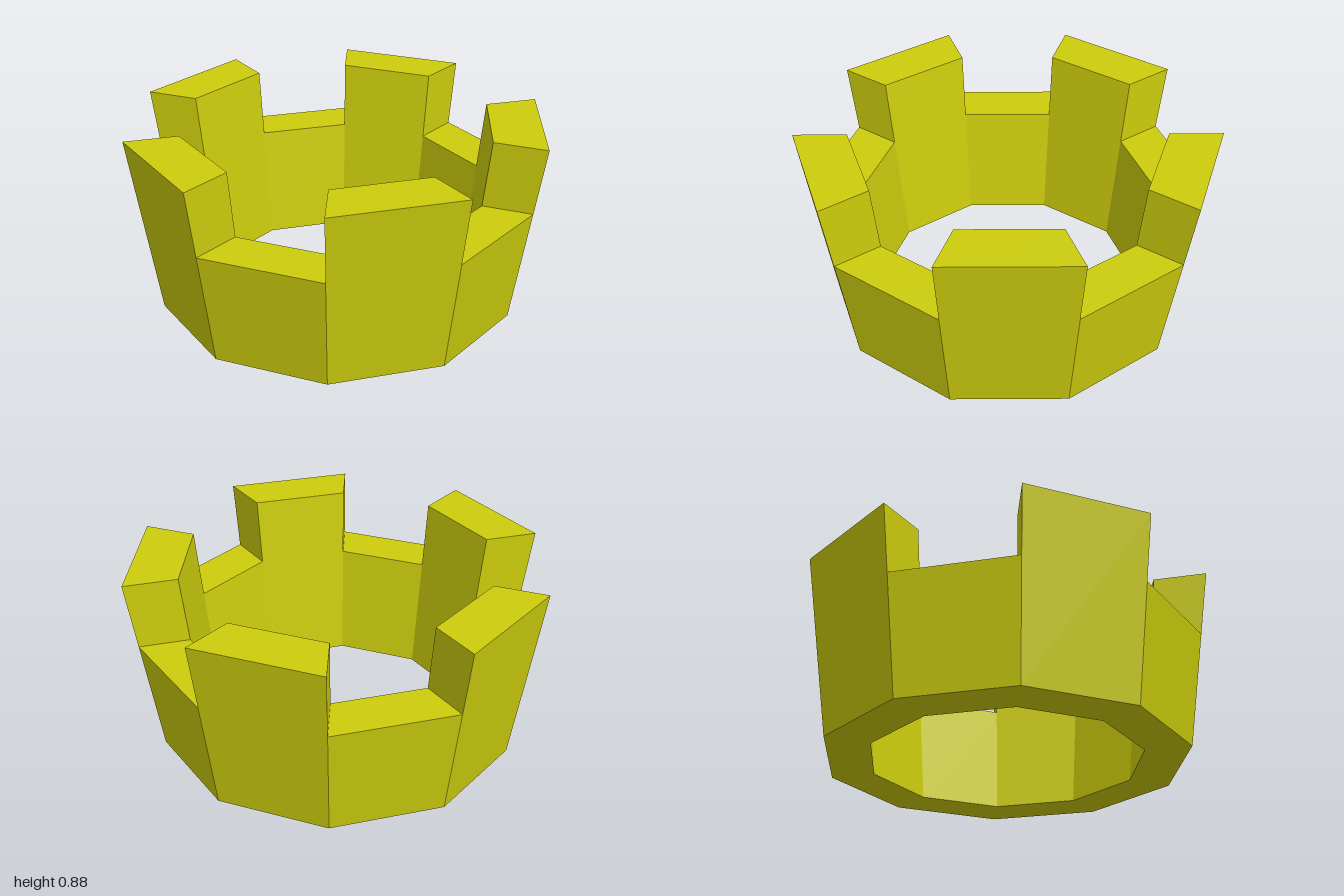
import * as THREE from 'three';

const SIDES = 10, STEP = (Math.PI * 2) / SIDES;
const START = THREE.MathUtils.degToRad(-21.2);
const HIGH = 0.885, LOW = 0.56;

// Flared wall: radii grow linearly with height
const outer = y => 0.873 + 0.128 * (y / HIGH);
const inner = y => 0.656 + 0.091 * (y / HIGH);
const point = (a, r, y) => [r * Math.sin(a), y, r * Math.cos(a)];

// One wall panel between two angles; tall panels also get side faces above the low wall
function panelGeometry(a0, a1, top, tall) {
  const positions = [];
  const quad = (a, b, c, d) => positions.push(...a, ...b, ...c, ...a, ...c, ...d);
  const o = (a, y) => point(a, outer(y), y);
  const i = (a, y) => point(a, inner(y), y);

  quad(o(a0, 0), o(a1, 0), o(a1, top), o(a0, top)); // outside
  quad(i(a1, 0), i(a0, 0), i(a0, top), i(a1, top)); // inside
  quad(o(a0, top), o(a1, top), i(a1, top), i(a0, top)); // top
  quad(i(a0, 0), i(a1, 0), o(a1, 0), o(a0, 0)); // underside
  if (tall) {
    quad(o(a1, LOW), i(a1, LOW), i(a1, top), o(a1, top));
    quad(i(a0, LOW), o(a0, LOW), o(a0, top), i(a0, top));
  }

  const geometry = new THREE.BufferGeometry();
  geometry.setAttribute('position', new THREE.Float32BufferAttribute(positions, 3));
  geometry.computeVertexNormals();
  return geometry;
}

export function createModel() {
  const model = new THREE.Group();
  model.name = 'battlementRing';
  const material = new THREE.MeshStandardMaterial({ color: 0xcccc0d, flatShading: true });

  // Alternate tall merlons and low gaps around the ring
  for (let k = 0; k < SIDES; k++) {
    const tall = k % 2 === 0;
    const a0 = START + k * STEP;
    const mesh = new THREE.Mesh(panelGeometry(a0, a0 + STEP, tall ? HIGH : LOW, tall), material);
    mesh.name = (tall ? 'merlon' : 'lowWall') + (Math.floor(k / 2) + 1);
    model.add(mesh);
  }
  return model;
}
